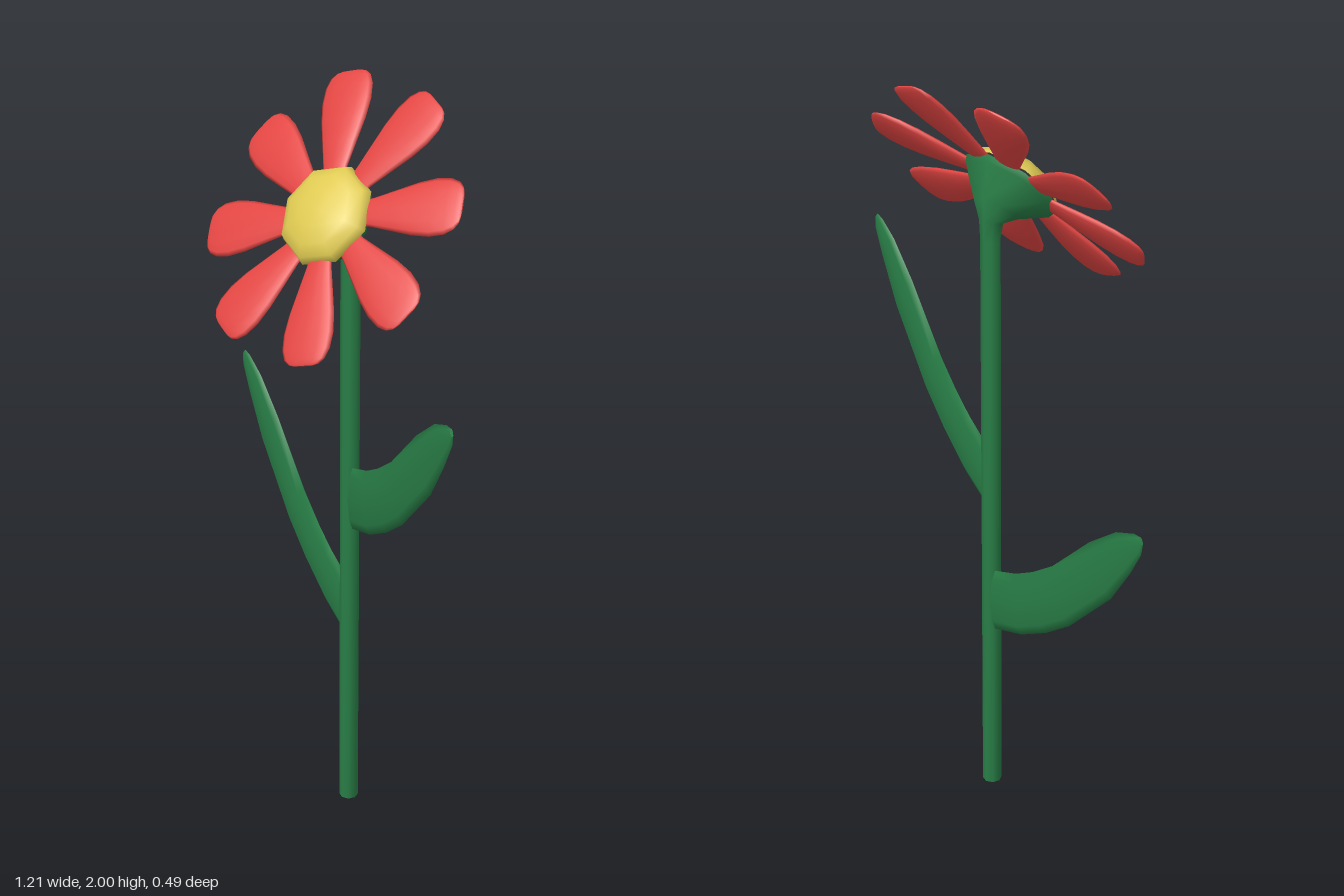
import * as THREE from 'three';

const paint = (color) => new THREE.MeshStandardMaterial({ color });
const GREEN = paint(0x287d46), RED = paint(0xe24542), YELLOW = paint(0xdfca52);
const V = (x, y, z) => new THREE.Vector3(x, y, z);

// Ring of points around a centre, spanned by the half axes u and v
function ring(center, u, v, sides) {
  return Array.from({ length: sides }, (_, j) => {
    const a = (j / sides) * Math.PI * 2;
    return center.clone().addScaledVector(u, Math.cos(a)).addScaledVector(v, Math.sin(a));
  });
}

// Smooth skin over a row of rings, closed with sharp-edged caps
function loft(rings) {
  const n = rings[0].length, points = rings.flat(), index = [];
  for (let i = 0; i < rings.length - 1; i++) {
    for (let j = 0; j < n; j++) {
      const k = (j + 1) % n, a = i * n + j, b = i * n + k;
      index.push(a, a + n, b, b, a + n, b + n);
    }
  }
  [rings[0], rings[rings.length - 1]].forEach((cap, end) => {
    const start = points.length;
    points.push(...cap);
    for (let j = 1; j < n - 1; j++) {
      if (end) index.push(start, start + j + 1, start + j);
      else index.push(start, start + j, start + j + 1);
    }
  });
  const geometry = new THREE.BufferGeometry().setFromPoints(points);
  geometry.setIndex(index);
  geometry.computeVertexNormals();
  return geometry;
}

function add(parent, name, geometry, material) {
  const mesh = new THREE.Mesh(geometry, material);
  mesh.name = name;
  parent.add(mesh);
  return mesh;
}

const TILT = 0.911; // lean of the flower head, from straight up towards the front

// Stem that bends forward and flares into the cup: height, depth, lean, radius
function stemGeometry() {
  const rows = [
    [0, -0.065, 0, 0.025], [1.59, -0.065, 0, 0.025], [1.635, -0.062, 0.3, 0.03],
    [1.662, -0.045, 0.7, 0.06], [1.698, -0.001, TILT, 0.122], [1.708, 0.011, TILT, 0.128],
  ];
  return loft(rows.map(([y, z, t, r]) =>
    ring(V(0.006, y, z), V(r, 0, 0), V(0, -Math.sin(t) * r, Math.cos(t) * r), 8)));
}

// Flat curved leaf: lower edge x, y, upper edge x, y, half thickness
function leafGeometry() {
  const rows = [
    [0, 0, 0, 0.175, 0.012], [0.14, 0.052, 0.115, 0.222, 0.015],
    [0.25, 0.115, 0.19, 0.265, 0.016], [0.35, 0.188, 0.275, 0.325, 0.016],
    [0.52, 0.355, 0.43, 0.471, 0.014], [0.595, 0.465, 0.535, 0.55, 0.011],
    [0.635, 0.535, 0.605, 0.58, 0.008], [0.64, 0.565, 0.628, 0.583, 0.004],
  ];
  return loft(rows.map(([lx, ly, ux, uy, t]) =>
    ring(V((lx + ux) / 2, (ly + uy) / 2, 0),
      V((ux - lx) / 2, (uy - ly) / 2, 0), V(0, 0, -t), 8)));
}

// Petal pointing along x: distance, half width, half thickness
function petalGeometry() {
  const rows = [
    [0.08, 0.03, 0.006], [0.13, 0.037, 0.01], [0.19, 0.052, 0.013], [0.25, 0.067, 0.014],
    [0.3, 0.074, 0.013], [0.34, 0.071, 0.011], [0.365, 0.06, 0.008],
    [0.377, 0.045, 0.005], [0.381, 0.028, 0.002],
  ];
  return loft(rows.map(([x, w, t]) => ring(V(x, 0, 0), V(0, 0, w), V(0, t, 0), 12)));
}

export function createModel() {
  const flower = new THREE.Group();
  flower.name = 'flower';
  add(flower, 'stem', stemGeometry(), GREEN);

  // Two leaves on opposite sides of the stem
  const leaf = leafGeometry();
  const leftLeaf = add(flower, 'leftLeaf', leaf, GREEN);
  leftLeaf.position.set(0.01, 0.825, -0.062);
  leftLeaf.rotation.y = -0.385;
  const rightLeaf = add(flower, 'rightLeaf', leaf, GREEN);
  rightLeaf.position.set(0.005, 0.48, -0.07);
  rightLeaf.rotation.y = Math.PI - 0.283;

  // Tilted head: domed centre and eight petals
  const head = new THREE.Group();
  head.name = 'flowerHead';
  head.position.set(0.008, 1.71, 0.015);
  head.rotation.x = TILT;
  flower.add(head);

  const dome = new THREE.SphereGeometry(1, 8, 4, 0, Math.PI * 2, 0, Math.PI / 2);
  dome.scale(0.132, 0.058, 0.132);
  add(head, 'flowerCentre', dome, YELLOW);

  const petal = petalGeometry();
  for (let i = 0; i < 8; i++) {
    const angle = ((i + 0.5) / 8) * Math.PI * 2;
    const mesh = add(head, 'petal', petal, RED);
    mesh.rotation.y = -angle;
    mesh.rotation.z = -0.06 * Math.cos(angle) ** 2; // side petals droop a little
  }
  return flower;
}
